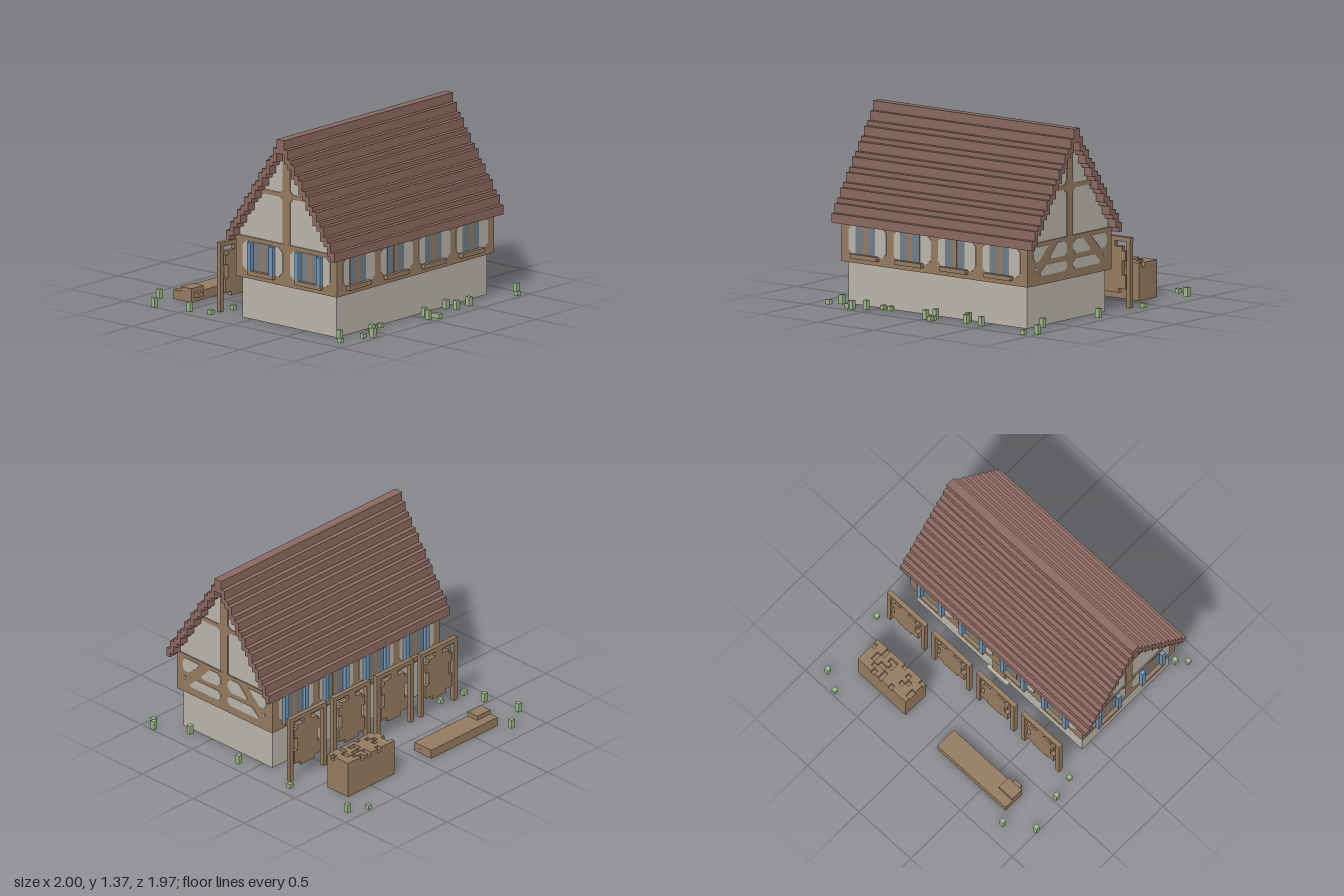
import * as THREE from 'three';
import { mergeGeometries } from 'three/addons/utils/BufferGeometryUtils.js';

const V = 1 / 30; // block size
const CZ = 0.35; // ridge line of the house

const mat = (name, color, side = THREE.FrontSide) => {
  const m = new THREE.MeshStandardMaterial({ color, side });
  m.name = name;
  return m;
};

export function createModel() {
  const plaster = mat('plaster', 0xb9b3aa, THREE.DoubleSide);
  const timber = mat('timber', 0x947a60);
  const tile = mat('roof tile', 0x8b6860);
  const glass = mat('glass', 0x727d86);
  const blue = mat('blue paint', 0x6f94b4);
  const green = mat('grass', 0x9bb687);
  const root = new THREE.Group();

  const add = (parent, name, geo, material) => {
    const m = new THREE.Mesh(geo, material);
    m.name = name;
    parent.add(m);
    return m;
  };
  // Box given by its limits
  const boxGeo = (x0, x1, y0, y1, z0, z1) =>
    new THREE.BoxGeometry(x1 - x0, y1 - y0, z1 - z0)
      .translate((x0 + x1) / 2, (y0 + y1) / 2, (z0 + z1) / 2);
  const box = (parent, name, material, ...b) => add(parent, name, boxGeo(...b), material);
  const shapeOf = pts => new THREE.Shape(pts.map(p => new THREE.Vector2(...p)));
  const plate = (parent, name, material, pts, depth = 0.004) =>
    add(parent, name, new THREE.ExtrudeGeometry(shapeOf(pts), { depth, bevelEnabled: false }), material);
  // Extrude a (z, y) outline along x, centred
  const alongX = (name, material, pts, half) => {
    const g = new THREE.ExtrudeGeometry(shapeOf(pts), { depth: 2 * half, bevelEnabled: false });
    return add(root, name, g.rotateY(-Math.PI / 2).translate(half, 0, 0), material);
  };
  const octagon = (x0, x1, y0, y1, c) => [
    [x0 + c, y0], [x1 - c, y0], [x1, y0 + c], [x1, y1 - c],
    [x1 - c, y1], [x0 + c, y1], [x0, y1 - c], [x0, y0 + c]];

  // Ground storey: walls open below, with a ceiling
  const walls = new THREE.CylinderGeometry(Math.SQRT1_2, Math.SQRT1_2, 0.3, 4, 1, true)
    .rotateY(Math.PI / 4).scale(1.6, 1, 0.87).translate(0, 0.15, CZ).toNonIndexed();
  walls.computeVertexNormals();
  add(root, 'groundStoreyWalls', walls, plaster);
  box(root, 'ceiling', plaster, -0.8, 0.8, 0.292, 0.299, CZ - 0.435, CZ + 0.435);

  // Timber upper storey
  box(root, 'upperStorey', timber, -0.833, 0.833, 0.3, 0.603, CZ - 0.467, CZ + 0.467);

  // Stepped roof and the gable below it
  const top = [2, 4, 5, 7, 8, 10, 11, 13, 14, 16, 17, 19, 20, 22, 24];
  const y = u => 0.57 + u * V;
  const over = [], under = [];
  top.forEach((t, i) => {
    const a = 0.5 - i * V, b = a - V;
    const low = i ? top[i - 1] - 1 : 0;
    over.push([a, y(t)]);
    if (i < 14) over.push([b, y(t)]);
    under.push([a, y(low)]);
    if (i < 14) under.push([b, y(low)]);
  });
  const both = half => [...half, ...half.map(([z, h]) => [-z, h]).reverse()];
  const shift = pts => pts.map(([z, h]) => [z + CZ, h]);
  alongX('roof', tile, shift([...both(over), ...both(under).reverse()]), 0.9);
  // Skip the eave step and the points on the sill line
  const gable = under.slice(3);
  alongX('gable', plaster, shift(both([[0.5 - V, y(1)], ...gable])), 0.83);

  // One group per wall: x along the wall, z outward
  const wall = (name, angle, x, z) => {
    const g = new THREE.Group();
    g.name = name;
    g.rotation.y = angle;
    g.position.set(x, 0, z);
    root.add(g);
    return g;
  };
  const windowUnit = (g, c, shutters) => {
    for (const s of [-1, 1]) {
      const m = c + s * 0.053;
      box(g, 'windowPane', glass, m - 0.034, m + 0.034, 0.365, 0.572, 0, 0.006);
      if (shutters) {
        const k = c + s * 0.1;
        box(g, 'shutter', blue, k - 0.017, k + 0.017, 0.367, 0.57, 0, V);
      }
    }
    box(g, 'mullion', timber, c - 0.02, c + 0.02, 0.365, 0.572, 0, 0.007);
    box(g, 'windowSill', timber, c - 0.117, c + 0.117, 0.335, 0.367, 0, V);
  };

  // Long walls
  const front = wall('frontWall', 0, 0, CZ + 0.467);
  const back = wall('backWall', Math.PI, 0, CZ - 0.467);
  for (const g of [front, back]) {
    for (const c of [-0.6, -0.2, 0.2, 0.6]) {
      plate(g, 'plasterPanel', plaster, octagon(c - 0.168, c + 0.168, 0.36, 0.572, 0.035));
      windowUnit(g, c - 0.017, g === back);
    }
  }

  // End walls with gable framing
  const right = wall('rightWall', Math.PI / 2, 0.833, CZ);
  const left = wall('leftWall', -Math.PI / 2, -0.833, CZ);
  for (const g of [right, left]) {
    box(g, 'gablePost', timber, -V, V, 0.6, 1.31, -0.01, 0.004);
    box(g, 'gableSillBeam', timber, -0.467, 0.467, 0.575, 0.603, 0, 0.005);
    for (const s of [-1, 1]) {
      const tie = [[0.02, 0.91], [0.033, 0.91], [0.06, 0.938], [0.21, 0.938], [0.255, 0.915],
        [0.255, 0.96], [0.22, 0.985], [0.2, 0.97], [0.06, 0.97], [0.033, 0.995], [0.02, 0.995]];
      plate(g, 'gableTie', timber, tie.map(([a, b]) => [a * s, b]), 0.006).position.z = -0.003;
    }
  }
  // Braced panels on the right
  const braced = [
    [[0.235, 0.572], [0.38, 0.572], [0.41, 0.54], [0.41, 0.5], [0.39, 0.47], [0.34, 0.47]],
    [[0.035, 0.5], [0.065, 0.47], [0.215, 0.47], [0.225, 0.485], [0.14, 0.572], [0.065, 0.572], [0.035, 0.545]],
    [[0.035, 0.385], [0.06, 0.362], [0.32, 0.362], [0.335, 0.38], [0.27, 0.435], [0.06, 0.435], [0.035, 0.415]],
  ];
  for (const s of [-1, 1]) {
    for (const p of braced) plate(right, 'bracedPanel', plaster, p.map(([a, b]) => [a * s, b]));
    box(right, 'plasterFleck', plaster, s * 0.385 - 0.014, s * 0.385 + 0.014, 0.412, 0.42, 0, 0.004);
    box(right, 'plasterFleck', plaster, s * 0.385 - 0.004, s * 0.385 + 0.004, 0.402, 0.43, 0, 0.004);
    // Shuttered windows on the left
    plate(left, 'plasterPanel', plaster, octagon(s * 0.22 - 0.185, s * 0.22 + 0.185, 0.36, 0.572, 0.035));
    windowUnit(left, s * 0.22, true);
  }

  // Back door and step
  box(root, 'backDoor', timber, -0.06, 0.06, V, 0.29, -0.092, -0.08);
  box(root, 'doorStep', plaster, -0.1, 0.1, 0, V, -0.115, -0.08);

  // Drying racks with hanging hides
  const hideHalf = [[0.035, 0.467], [0.035, 0.43], [0.1, 0.43], [0.1, 0.4], [0.13, 0.4], [0.13, 0.33],
    [0.1, 0.33], [0.1, 0.23], [0.13, 0.23], [0.13, 0.13], [0.067, 0.13], [0.067, 0.1]];
  const hide = both(hideHalf);
  [-0.62, -0.185, 0.248, 0.68].forEach((x, i) => {
    const rack = new THREE.Group();
    rack.name = 'dryingRack';
    rack.position.set(x, 0, -0.305);
    root.add(rack);
    for (const s of [-1, 1])
      box(rack, 'rackPost', timber, s * 0.166 - V / 2, s * 0.166 + V / 2, 0, 0.467, -V / 2, V / 2);
    box(rack, 'rackBar', timber, -0.183, 0.183, 0.467, 0.5, -V / 2, V / 2);
    const h = plate(rack, 'hide', timber, hide, V);
    h.position.z = -V / 2;
    if (i % 2) h.position.x = 0.01;
  });

  // Vat with a pitted top; x marks a pit
  box(root, 'vat', timber, 0.265, 0.728, 0, 0.235, -0.755, -0.555);
  const pits = ['....x..x.x....', 'x......x..x...', 'x..x....xx.x..',
    '..x....x...x..', '...x...xx.x..x', 'x....x....x...'];
  const cells = [];
  pits.forEach((row, j) => [...row].forEach((ch, i) => {
    const x = 0.265 + i * V, z = -0.755 + j * V;
    if (ch === '.') cells.push(boxGeo(x, Math.min(x + V, 0.728), 0.235, 0.267, z, z + V));
  }));
  add(root, 'vatTop', mergeGeometries(cells), timber);

  // Scraping beam, hollow underneath
  box(root, 'beamTop', timber, -0.73, -0.07, V, 2 * V, -0.785, -0.62);
  for (const z of [-0.785, -0.653]) box(root, 'beamSide', timber, -0.73, -0.07, 0, V, z, z + V);
  for (const x of [-0.73, -0.103]) box(root, 'beamEnd', timber, x, x + V, 0, V, -0.752, -0.653);
  box(root, 'beamBlock', timber, -0.73, -0.6, 2 * V, 3 * V, -0.715, -0.62);
  box(root, 'beamPeg', timber, -0.7, -0.637, V, 2 * V, -0.62, -0.588);

  // Grass tufts: x, z, height in blocks
  const tufts = [
    [-0.985, -0.74, 2], [-0.785, -0.87, 2], [0.745, -0.97, 1], [0.88, -0.9, 2], [-0.92, -0.47, 2],
    [-0.885, -0.305, 1], [-0.685, -0.27, 1], [0.915, -0.37, 1], [0.915, 0.13, 2], [0.85, 0.67, 2],
    [-0.885, 0.895, 1], [-0.685, 0.93, 1], [-0.62, 0.965, 2], [-0.55, 0.895, 2], [-0.82, 0.83, 2],
    [-0.45, 0.83, 1], [-0.385, 0.83, 1], [0.31, 0.83, 2], [0.01, 0.93, 2], [0.045, 0.86, 2],
    [0.08, 0.93, 1], [0.08, 0.965, 1], [0.345, 0.895, 2], [0.48, 0.895, 2], [0.983, 0.895, 2], [0.915, 0.965, 1]];
  const grass = new THREE.Group();
  grass.name = 'grass';
  for (const [x, z, n] of tufts)
    box(grass, 'grassTuft', green, x - V / 2, x + V / 2, 0, n * V, z - V / 2, z + V / 2);
  root.add(grass);
  return root;
}
